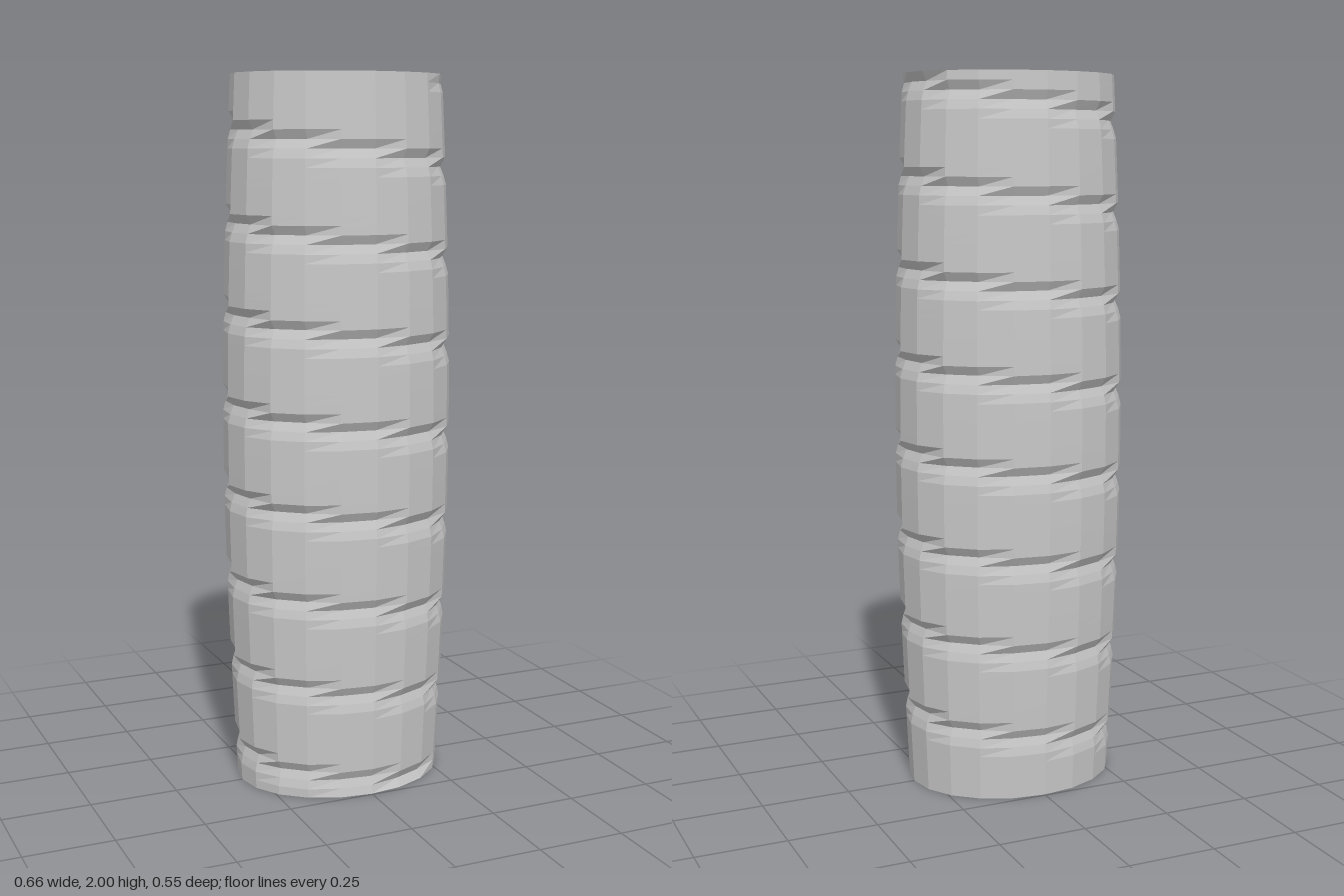
import * as THREE from 'three';

const HEIGHT = 2, SIDES = 20, ROWS = 80, ROWS_PER_TURN = 10;

// Groove depth (fraction of radius) at a grid row and a fraction of a turn.
function grooveDepth(row, turn) {
  if (row === 0 || row === ROWS) return 0;
  const start = Math.round(1.75 - ROWS_PER_TURN * turn);
  const d = (((row - start) % ROWS_PER_TURN) + ROWS_PER_TURN) % ROWS_PER_TURN;
  if (d === 0) return 0.05;                      // bottom of the groove, under the ledge
  if (d === ROWS_PER_TURN - 1) return 0.02;      // bevel leading down into it
  return 0;
}

export function createModel() {
  const group = new THREE.Group();
  group.name = 'wrappedGrip';

  const wrapGrey = new THREE.MeshStandardMaterial({ color: 0xc8c8c8 });
  wrapGrey.name = 'wrap grey';

  // Oval barrel with a spiral of overlapping wrap bands
  const base = new THREE.CylinderGeometry(1, 1, HEIGHT, SIDES, ROWS);
  base.translate(0, HEIGHT / 2, 0);
  const p = base.attributes.position;
  for (let i = 0; i < p.count; i++) {
    const x = p.getX(i), y = p.getY(i), z = p.getZ(i);
    const row = Math.round((y / HEIGHT) * ROWS);
    let turn = Math.round((Math.atan2(x, z) / (2 * Math.PI)) * SIDES) / SIDES;
    if (turn < 0) turn += 1;
    const swell = 0.03 * Math.sin((Math.PI * y) / HEIGHT);
    const keep = 1 - grooveDepth(row, turn);
    p.setX(i, x * (0.3 + swell) * keep);
    p.setZ(i, z * (0.246 + swell) * keep);
  }

  // Separate corners give flat facets
  const geometry = base.toNonIndexed();
  geometry.computeVertexNormals();
  const grip = new THREE.Mesh(geometry, wrapGrey);
  grip.name = 'grip';
  group.add(grip);
  return group;
}
